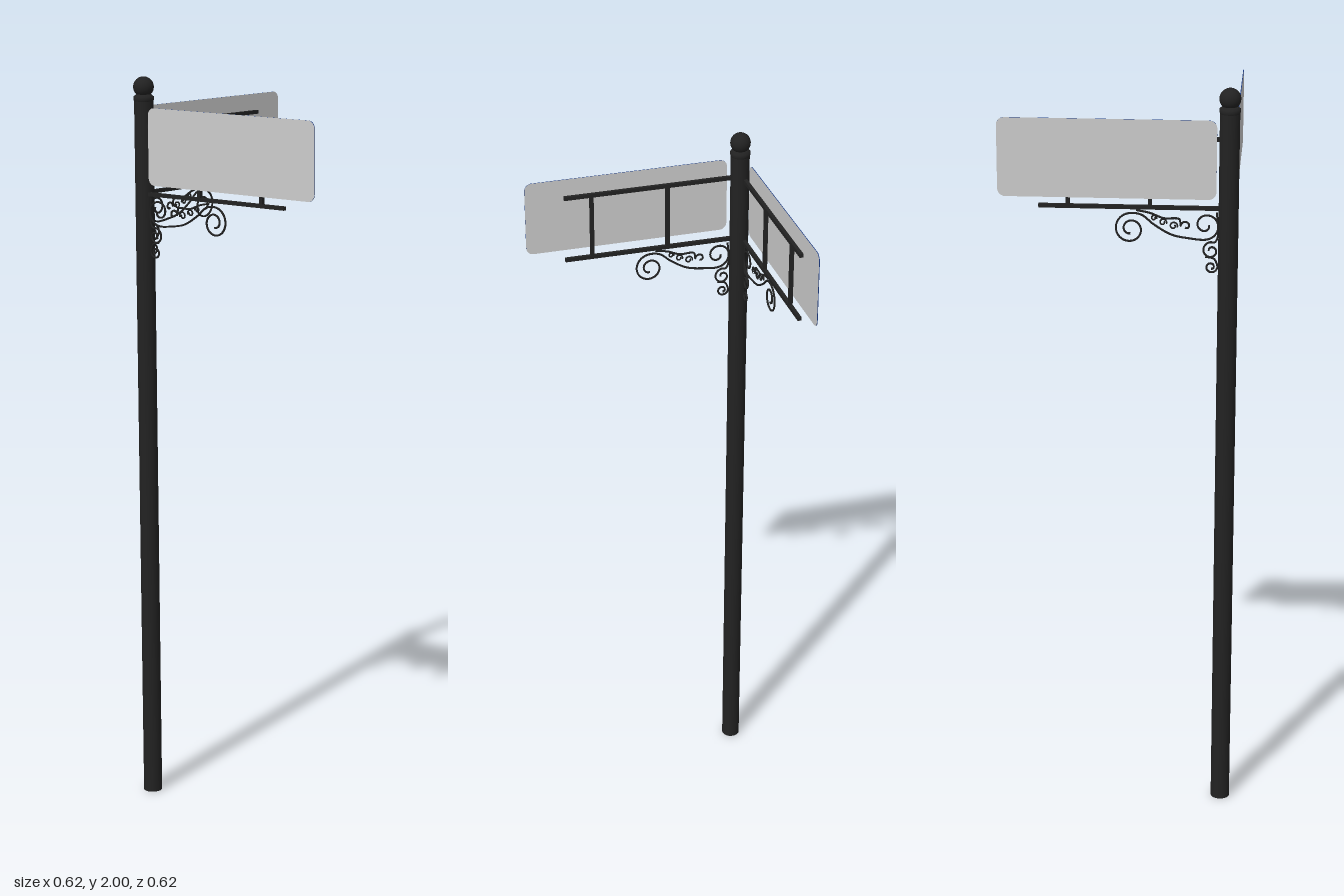
import * as THREE from 'three';

const iron = new THREE.MeshStandardMaterial({ color: 0x222222 });
const panel = new THREE.MeshStandardMaterial({ color: 0xcccccc });
const edging = new THREE.MeshStandardMaterial({ color: 0x1c3a80 });

function mesh(name, geometry, material, x = 0, y = 0, z = 0) {
  const m = new THREE.Mesh(geometry, material);
  m.name = name;
  m.position.set(x, y, z);
  return m;
}

// Points of a spiral from angle a0 (degrees), turning by sweep, radius r0 to r1
function spiral(cx, cy, r0, r1, a0, sweep) {
  const n = Math.ceil(Math.abs(sweep) / 30);
  return Array.from({ length: n + 1 }, (_, i) => {
    const a = THREE.MathUtils.degToRad(a0 + sweep * i / n);
    const r = r0 + (r1 - r0) * i / n;
    return [cx + r * Math.cos(a), cy + r * Math.sin(a)];
  });
}

// Wrought iron wire through flat points
function wire(name, points, radius = 0.0028) {
  const curve = new THREE.CatmullRomCurve3(points.map(([x, y]) => new THREE.Vector3(x, y, 0)));
  return mesh(name, new THREE.TubeGeometry(curve, points.length * 5, radius, 6), iron);
}

// Scrollwork bracket under the arm
function createBracket() {
  const g = new THREE.Group();
  g.name = 'scrollBracket';
  g.add(wire('mainScroll', [
    ...spiral(0.058, 1.645, 0.008, 0.038, -190, 460),
    [0.1, 1.61], [0.145, 1.619], [0.19, 1.645], [0.222, 1.67],
    ...spiral(0.25, 1.632, 0.042, 0.012, 90, -540),
  ]));
  g.add(wire('upperScroll', [
    ...spiral(0.108, 1.642, 0.004, 0.014, -60, -300),
    [0.125, 1.66], [0.165, 1.662], [0.2, 1.675], [0.235, 1.682],
  ]));
  // Small curls filling the space between the two long scrolls
  [[0.14, 1.642, 0.011], [0.167, 1.651, 0.01], [0.19, 1.662, 0.008]].forEach(([x, y, r]) =>
    g.add(wire('fillerCurl', spiral(x, y, r, r * 0.35, 200, -430), 0.0022)));
  // Scrolls running down the post
  g.add(wire('postScroll', [
    [0.03, 1.68], [0.026, 1.64], [0.028, 1.61],
    ...spiral(0.043, 1.578, 0.024, 0.006, 110, -470),
  ]));
  g.add(wire('lowerPostScroll', [
    [0.058, 1.562], [0.036, 1.557],
    ...spiral(0.043, 1.535, 0.017, 0.005, 150, 480),
  ]));
  return g;
}

// Thin sign plate with rounded corners and coloured edge
function createSign() {
  const [x0, x1, y0, y1, r] = [0.031, 0.589, 1.715, 1.92, 0.02];
  const s = new THREE.Shape();
  s.absarc(x1 - r, y0 + r, r, -Math.PI / 2, 0);
  s.absarc(x1 - r, y1 - r, r, 0, Math.PI / 2);
  s.absarc(x0 + r, y1 - r, r, Math.PI / 2, Math.PI);
  s.absarc(x0 + r, y0 + r, r, Math.PI, Math.PI * 1.5);
  const geo = new THREE.ExtrudeGeometry(s, { depth: 0.002, bevelEnabled: false, curveSegments: 6 });
  geo.translate(0, 0, -0.001);
  return mesh('signPlate', geo, [panel, edging]);
}

// One arm reaching along +x; side picks which face carries the plate
function createArm(name, side) {
  const g = new THREE.Group();
  g.name = name;
  const z = side * 0.008;
  for (const y of [1.69, 1.87]) {
    g.add(mesh('rail', new THREE.BoxGeometry(0.475, 0.01, 0.01), iron, 0.2475, y, z));
  }
  for (const x of [0.2, 0.41]) {
    g.add(mesh('upright', new THREE.BoxGeometry(0.01, 0.18, 0.01), iron, x, 1.78, z));
  }
  const sign = createSign();
  sign.position.z = side * 0.018;
  const bracket = createBracket();
  bracket.position.z = z;
  g.add(sign, bracket);
  return g;
}

export function createModel() {
  const model = new THREE.Group();
  model.name = 'streetSign';
  const stand = new THREE.Group();
  stand.name = 'stand';
  stand.position.set(-0.281, 0, 0.281);

  // Post with a collar at the top
  const profile = [[0, 0], [0.0255, 0], [0.0255, 0], [0.0255, 1.935], [0.0255, 1.935],
    [0.0272, 1.939], [0.0272, 1.947], [0.02, 1.953], [0, 1.953]];
  stand.add(mesh('post', new THREE.LatheGeometry(
    profile.map(([x, y]) => new THREE.Vector2(x, y)), 24), iron));
  stand.add(mesh('ballFinial', new THREE.SphereGeometry(0.0275, 24, 16), iron, 0, 1.9725, 0));

  // Two arms at a right angle, plates on their outer faces
  const frontArm = createArm('frontArm', 1);
  const sideArm = createArm('sideArm', -1);
  sideArm.rotation.y = Math.PI / 2;
  stand.add(frontArm, sideArm);

  model.add(stand);
  return model;
}
